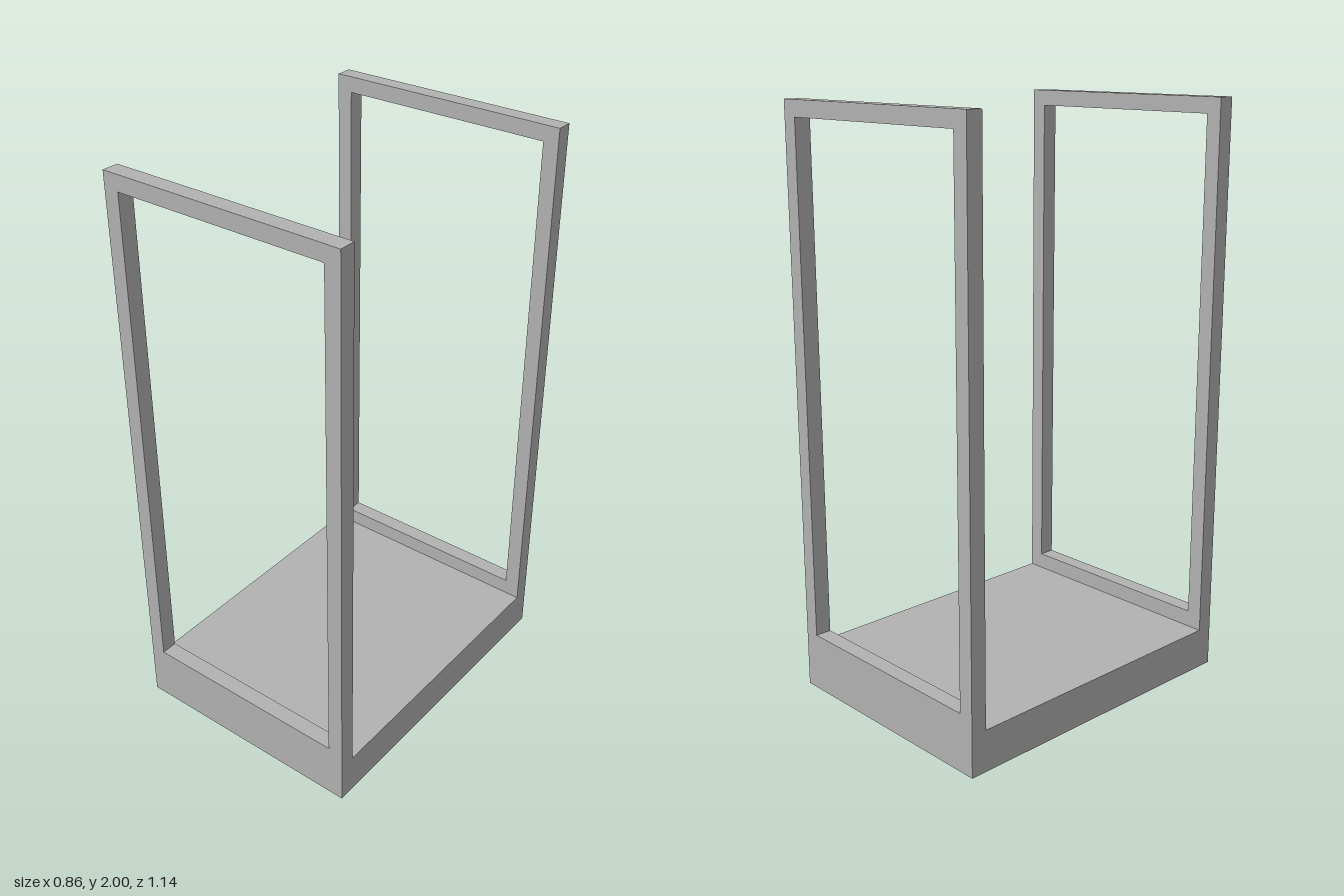
import * as THREE from 'three';

const WIDTH = 0.857, DEPTH = 1.143, HEIGHT = 2;
const BASE_HEIGHT = 0.143; // floor slab
const FRAME_DEPTH = 0.057; // thickness of each end frame along z
const BORDER = 0.054;      // width of posts and top rail
const SILL_TOP = 0.2;      // lower edge of the opening

function rectangle(PathType, x0, y0, x1, y1) {
  return new PathType([
    new THREE.Vector2(x0, y0), new THREE.Vector2(x1, y0),
    new THREE.Vector2(x1, y1), new THREE.Vector2(x0, y1),
  ]);
}

export function createModel() {
  const model = new THREE.Group();
  model.name = 'openEndedStand';
  const grey = new THREE.MeshStandardMaterial({ color: 0xb2b2b2 });
  grey.name = 'grey';

  // Solid floor slab
  const base = new THREE.Mesh(new THREE.BoxGeometry(WIDTH, BASE_HEIGHT, DEPTH), grey);
  base.name = 'base';
  base.position.y = BASE_HEIGHT / 2;
  model.add(base);

  // Upright rectangular frame with one opening, rising from each end of the base
  const w = WIDTH / 2;
  const outline = rectangle(THREE.Shape, -w, BASE_HEIGHT, w, HEIGHT);
  outline.holes.push(rectangle(THREE.Path, -w + BORDER, SILL_TOP, w - BORDER, HEIGHT - BORDER));
  const frameGeometry = new THREE.ExtrudeGeometry(outline, { depth: FRAME_DEPTH, bevelEnabled: false });
  frameGeometry.translate(0, 0, -FRAME_DEPTH / 2);

  for (const [name, side] of [['frontFrame', 1], ['backFrame', -1]]) {
    const frame = new THREE.Mesh(frameGeometry, grey);
    frame.name = name;
    frame.position.z = side * (DEPTH - FRAME_DEPTH) / 2;
    model.add(frame);
  }

  return model;
}
